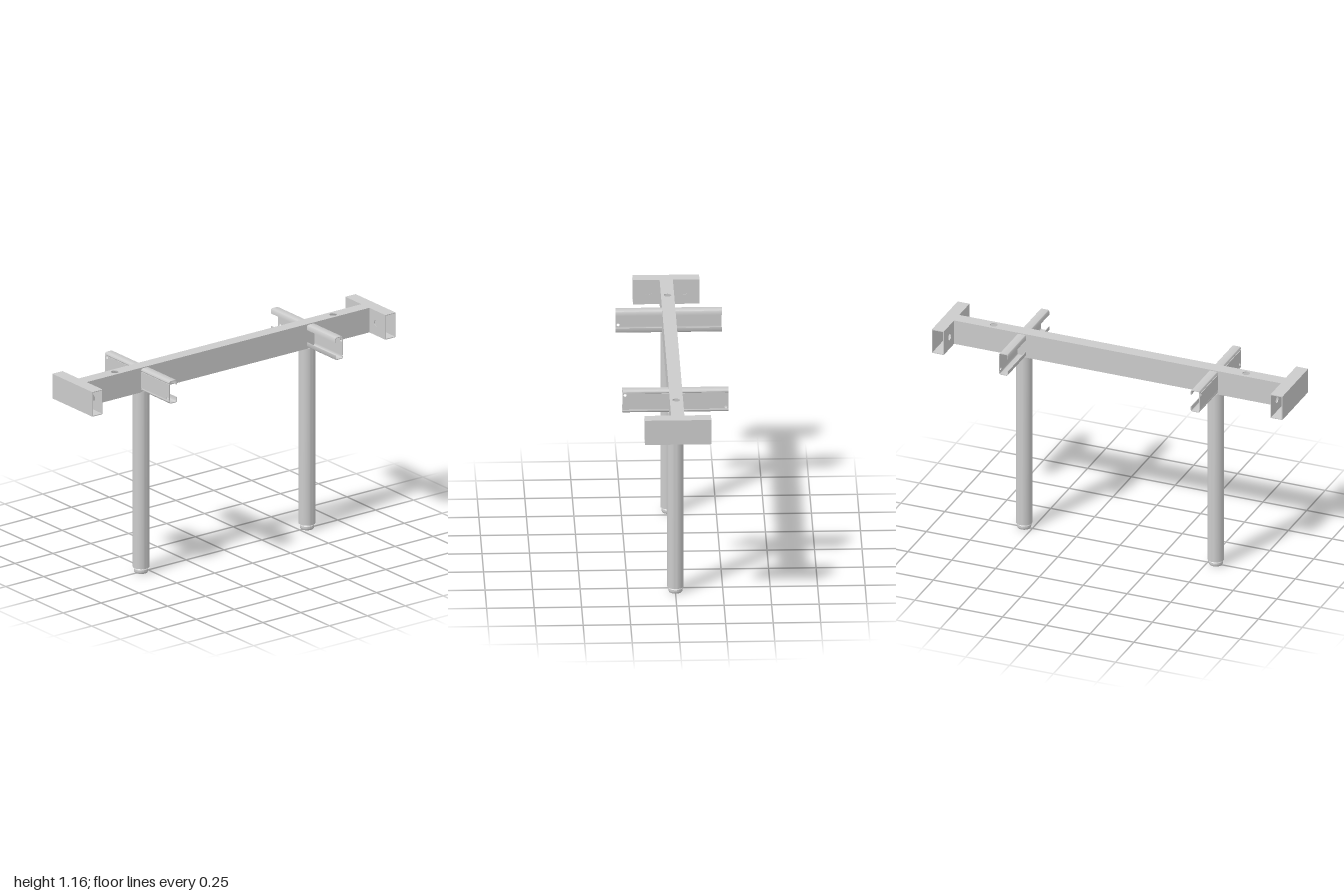
import * as THREE from 'three';
import { toCreasedNormals } from 'three/addons/utils/BufferGeometryUtils.js';

const steel = new THREE.MeshStandardMaterial({ color: 0xcccccc });
const WALL = 0.004;
const MID_Y = 1.091, TUBE_H = 0.138;   // shared by beam and end tubes
const LEG_Z = 0.547;

function add(parent, name, geometry, x = 0, y = 0, z = 0) {
  const mesh = new THREE.Mesh(toCreasedNormals(geometry, 0.6), steel);
  mesh.name = name;
  mesh.position.set(x, y, z);
  parent.add(mesh);
  return mesh;
}

// Flat plate in the XY plane with round holes given as [x, y, radius]
function plate(w, h, holes = []) {
  const shape = new THREE.Shape([
    new THREE.Vector2(-w / 2, -h / 2), new THREE.Vector2(w / 2, -h / 2),
    new THREE.Vector2(w / 2, h / 2), new THREE.Vector2(-w / 2, h / 2),
  ]);
  for (const [x, y, r] of holes) shape.holes.push(new THREE.Path().absarc(x, y, r, 0, Math.PI * 2, true));
  return new THREE.ExtrudeGeometry(shape, { depth: WALL, bevelEnabled: false, curveSegments: 16 })
    .translate(0, 0, -WALL / 2);
}

// Rounded flange with a turned-in lip; side = 1 upper, -1 lower
function flange(side, length) {
  const hw = 0.026, hh = 0.063, r = 0.011, lipEnd = 0.035, webEnd = 0.045;
  const s = new THREE.Shape();
  s.moveTo(-hw, webEnd);
  s.absarc(-hw + r, hh - r, r, Math.PI, Math.PI / 2, true);
  s.absarc(hw - r, hh - r, r, Math.PI / 2, 0, true);
  s.lineTo(hw, lipEnd);
  s.lineTo(hw - WALL, lipEnd);
  s.absarc(hw - r, hh - r, r - WALL, 0, Math.PI / 2, false);
  s.absarc(-hw + r, hh - r, r - WALL, Math.PI / 2, Math.PI, false);
  s.lineTo(-hw + WALL, webEnd);
  const outline = s.getPoints(5).map(p => new THREE.Vector2(p.x, p.y * side));
  return new THREE.ExtrudeGeometry(new THREE.Shape(outline), { depth: length, bevelEnabled: false })
    .translate(0, 0, -length / 2).rotateY(Math.PI / 2);
}

// Hollow crosswise tube closing one end of the beam, open at both sides
function endTube() {
  const g = new THREE.Group();
  g.name = 'endTube';
  const w = 0.35, d = 0.068, zMid = 0.966;
  add(g, 'outerWall', plate(w, TUBE_H), 0, MID_Y, zMid + d / 2 - WALL / 2);
  add(g, 'innerWall', plate(w, TUBE_H, [[-0.095, 0, 0.018], [0.095, 0, 0.018]]), 0, MID_Y, zMid - d / 2 + WALL / 2);
  for (const s of [1, -1]) {
    add(g, s > 0 ? 'topWall' : 'bottomWall', plate(w, d - 2 * WALL).rotateX(Math.PI / 2),
      0, MID_Y + s * (TUBE_H - WALL) / 2, zMid);
  }
  return g;
}

// Lipped C-channel crossing the beam, open towards the centre
function crossChannel() {
  const g = new THREE.Group();
  g.name = 'crossChannel';
  const length = 0.56, y = 1.092;
  add(g, 'web', plate(length, 0.09, [[-0.265, 0.036, 0.008], [0.265, -0.036, 0.008]]),
    0, y, LEG_Z + 0.026 - WALL / 2);
  add(g, 'upperFlange', flange(1, length), 0, y, LEG_Z);
  add(g, 'lowerFlange', flange(-1, length), 0, y, LEG_Z);
  return g;
}

// Round leg with an adjustable foot
function leg() {
  const g = new THREE.Group();
  g.name = 'leg';
  add(g, 'post', new THREE.CylinderGeometry(0.044, 0.044, 0.994, 40), 0, 0.527, LEG_Z);
  const profile = [[0, 0], [0.034, 0], [0.037, 0.005], [0.038, 0.012], [0.037, 0.02],
    [0.031, 0.026], [0.031, 0.032]].map(([x, y]) => new THREE.Vector2(x, y));
  add(g, 'foot', new THREE.LatheGeometry(profile, 40), 0, 0.003, LEG_Z).position.y = 0;
  return g;
}

export function createModel() {
  const model = new THREE.Group();
  model.name = 'supportFrame';

  // Long hollow beam with two access holes in its top
  const beam = new THREE.Group();
  beam.name = 'beam';
  const bw = 0.07, length = 1.864;
  const holes = [[0, -0.72, 0.02], [0, 0.72, 0.02]];
  add(beam, 'topWall', plate(bw, length, holes).rotateX(-Math.PI / 2), 0, MID_Y + (TUBE_H - WALL) / 2, 0);
  add(beam, 'bottomWall', plate(bw, length).rotateX(-Math.PI / 2), 0, MID_Y - (TUBE_H - WALL) / 2, 0);
  for (const s of [1, -1]) {
    add(beam, s > 0 ? 'leftWall' : 'rightWall', plate(length, TUBE_H - 2 * WALL).rotateY(Math.PI / 2),
      s * (bw - WALL) / 2, MID_Y, 0);
  }
  model.add(beam);

  // The two ends are the same assembly turned half a turn
  for (const name of ['frontEnd', 'backEnd']) {
    const end = new THREE.Group();
    end.name = name;
    end.add(endTube(), crossChannel(), leg());
    if (name === 'backEnd') end.rotation.y = Math.PI;
    model.add(end);
  }
  return model;
}
